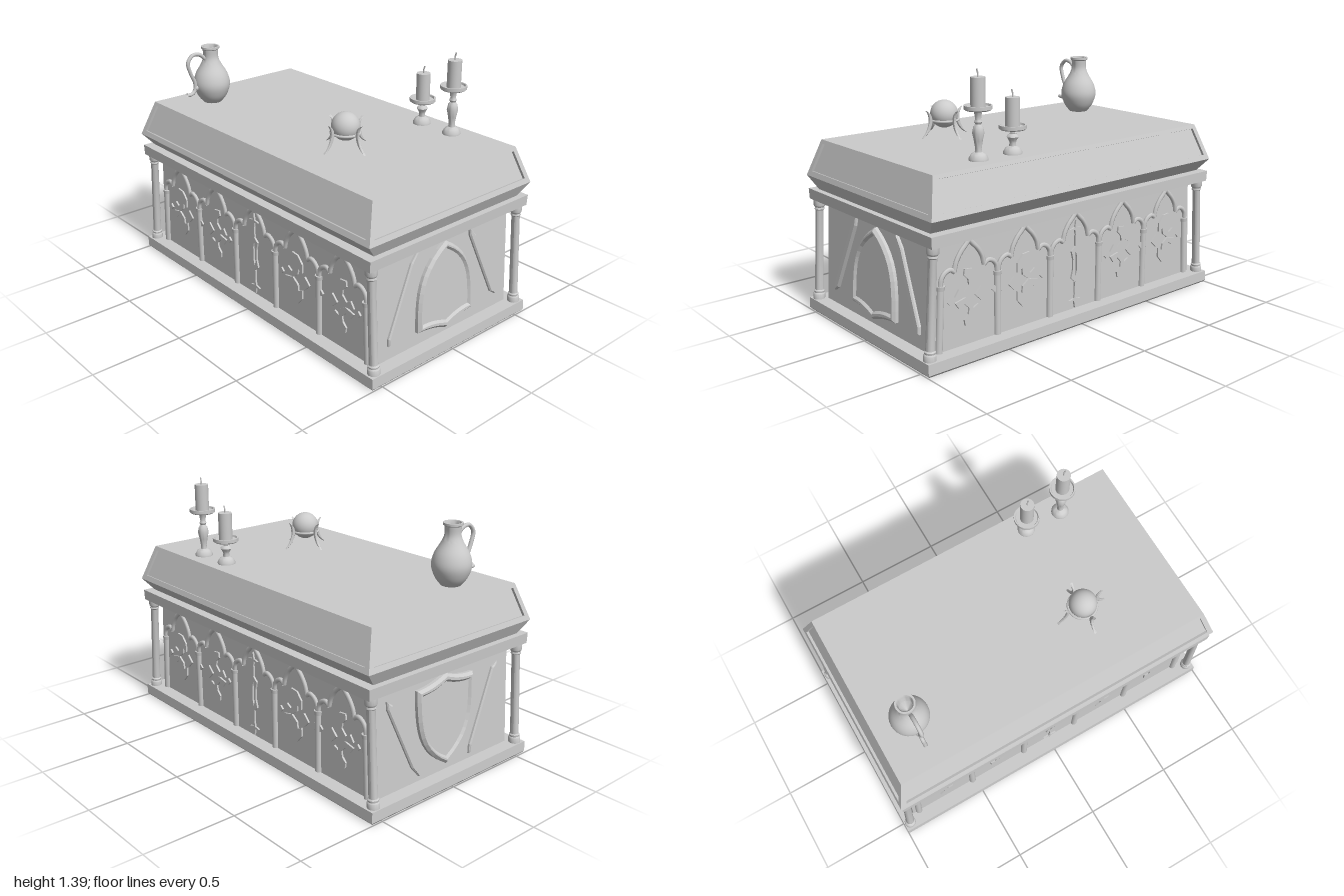
import * as THREE from 'three';
import { toCreasedNormals } from 'three/addons/utils/BufferGeometryUtils.js';

const grey = new THREE.MeshStandardMaterial({ color: 0xcccccc, side: THREE.DoubleSide });
const V3 = (x, y, z) => new THREE.Vector3(x, y, z);

function add(parent, name, geometry, x = 0, y = 0, z = 0) {
  const mesh = new THREE.Mesh(geometry, grey);
  mesh.name = name;
  mesh.position.set(x, y, z);
  parent.add(mesh);
  return mesh;
}

function group(parent, name, x = 0, y = 0, z = 0) {
  const g = new THREE.Group();
  g.name = name;
  g.position.set(x, y, z);
  parent.add(g);
  return g;
}

// Box whose bottom and top have different half sizes
function frustum(y0, x0, z0, y1, x1, z1) {
  const g = new THREE.BoxGeometry(2, 1, 2);
  const p = g.attributes.position;
  for (let i = 0; i < p.count; i++) {
    const top = p.getY(i) > 0;
    p.setXYZ(i, p.getX(i) * (top ? x1 : x0), top ? y1 : y0, p.getZ(i) * (top ? z1 : z0));
  }
  g.computeVertexNormals();
  return g;
}

const lathe = (pts, seg = 24) => toCreasedNormals(
  new THREE.LatheGeometry(pts.map(([r, y]) => new THREE.Vector2(r, y)), seg), 0.7);

const polygon = (pts) => new THREE.Shape(pts.map(([x, y]) => new THREE.Vector2(x, y)));

const extrude = (shape, depth, bevel = 0) => new THREE.ExtrudeGeometry(shape, {
  depth, bevelEnabled: bevel > 0, bevelSize: bevel, bevelThickness: bevel,
  bevelOffset: -bevel, bevelSegments: 1, curveSegments: 10,
});

const diamond = (w, h = w) => polygon([[-w, 0], [0, -h], [w, 0], [0, h]]);

// Sloping lid with a sunken panel in each of its four sides
function lidGeometry(y0, x0, z0, y1, x1, z1) {
  const pos = [];
  const quad = (a, b, c, d) => [a, b, c, a, c, d].forEach((v) => pos.push(v.x, v.y, v.z));
  const ring = (x, y, z) => [V3(-x, y, z), V3(x, y, z), V3(x, y, -z), V3(-x, y, -z)];
  const low = ring(x0, y0, z0), high = ring(x1, y1, z1);
  quad(...high);
  for (let i = 0; i < 4; i++) {
    const j = (i + 1) % 4;
    const outer = [low[i], low[j], high[j], high[i]];
    const across = low[j].clone().sub(low[i]);
    const n = across.clone().cross(high[i].clone().sub(low[i])).normalize();
    const m = 0.03 / across.length();
    const at = (u, v) => low[i].clone().lerp(low[j], u).lerp(high[i].clone().lerp(high[j], u), v);
    const inner = [at(m, 0.14), at(1 - m, 0.14), at(1 - m, 0.9), at(m, 0.9)];
    const sunk = inner.map((v) => v.clone().addScaledVector(n, -0.014));
    for (let k = 0; k < 4; k++) {
      const l = (k + 1) % 4;
      quad(outer[k], outer[l], inner[l], inner[k]);
      quad(inner[k], inner[l], sunk[l], sunk[k]);
    }
    quad(...sunk);
  }
  const g = new THREE.BufferGeometry();
  g.setAttribute('position', new THREE.Float32BufferAttribute(pos, 3));
  g.computeVertexNormals();
  return g;
}

// Long side: trefoil arcade, pilasters and carved ornaments, facing +z
function arcade(parent, name) {
  const side = group(parent, name, 0, 0, 0.488);
  const half = [[-0.172, 0.4], [-0.165, 0.44], [-0.145, 0.465], [-0.115, 0.475], [-0.09, 0.46]];
  const point = [[-0.09, 0.46], [-0.078, 0.505], [-0.05, 0.55], [-0.02, 0.58], [0, 0.602]];
  const fleur = [[-0.09, 0.015], [-0.065, 0.05], [-0.035, 0.03], [-0.005, 0.06], [-0.01, 0.09],
    [-0.035, 0.115], [-0.03, 0.145], [0.015, 0.14], [0.05, 0.1], [0.05, 0.05], [0.02, 0.065],
    [0.015, 0.03], [-0.025, 0]];
  for (let i = -2; i <= 2; i++) {
    const cx = i * 0.35;
    for (const s of [-1, 1]) for (const line of [half, point]) {
      const path = new THREE.CatmullRomCurve3(line.map(([x, y]) => V3(cx + s * x, y, 0.004)));
      add(side, 'archMoulding', new THREE.TubeGeometry(path, 14, 0.013, 6));
    }
    if (i === 0) continue;
    // Leaf scrolls and diamonds, mirrored about the centre panel
    const flip = Math.abs(i) === 2 ? Math.sign(i) : -Math.sign(i);
    const motif = group(side, 'carvedOrnament', cx, 0.315, -0.002);
    for (const s of [-1, 1]) {
      add(motif, 'leafScroll', extrude(polygon(fleur.map(([x, y]) => [-flip * x, s * y])), 0.012));
    }
    for (const [x, r] of [[-0.118, 0.018], [0.07, 0.038], [0.155, 0.018]]) {
      add(motif, 'diamond', extrude(diamond(r), 0.012), -flip * x);
    }
  }
  // Centre panel ornament
  const centre = group(side, 'centreOrnament', 0, 0, -0.002);
  for (const y of [0.515, 0.12]) {
    add(centre, 'crossUpright', extrude(diamond(0.009, 0.045), 0.012), 0, y);
    add(centre, 'crossArm', extrude(diamond(0.04, 0.009), 0.012), 0, y);
  }
  const link = polygon([[0, -0.1], [0.03, -0.075], [0.018, -0.03], [0.018, 0.03], [0.03, 0.075],
    [0, 0.1], [-0.03, 0.075], [-0.018, 0.03], [-0.018, -0.03], [-0.03, -0.075]]);
  link.holes.push(polygon([[0, -0.07], [0.009, -0.04], [0.009, 0.04], [0, 0.07], [-0.009, 0.04], [-0.009, -0.04]]));
  add(centre, 'link', extrude(link, 0.012), 0, 0.32);
  add(centre, 'upperStem', new THREE.BoxGeometry(0.008, 0.06, 0.012), 0, 0.45, 0.006);
  add(centre, 'lowerStem', new THREE.BoxGeometry(0.008, 0.06, 0.012), 0, 0.19, 0.006);
  // Pilasters
  for (const x of [-0.885, -0.525, -0.175, 0.175, 0.525, 0.885]) {
    const pilaster = group(side, 'pilaster', x, 0.07);
    pilaster.rotation.z = Math.abs(x) > 0.8 ? Math.sign(x) * 0.05 : 0;
    add(pilaster, 'pilasterShaft', new THREE.CylinderGeometry(0.019, 0.019, 0.32, 12), 0, 0.16);
    add(pilaster, 'pilasterCapital', new THREE.CylinderGeometry(0.024, 0.021, 0.022, 12), 0, 0.325);
  }
  return side;
}

// Short end: shield between two blades, facing +z before it is turned
function endDecoration(parent, s) {
  const end = group(parent, s > 0 ? 'leftEnd' : 'rightEnd', s * 0.908, 0.3475, 0);
  end.rotation.order = 'YXZ';
  end.rotation.set(-0.054, s * Math.PI / 2, s > 0 ? 0 : Math.PI);
  const outline = (k) => {
    const sh = new THREE.Shape();
    sh.moveTo(0, -0.247 * k);
    sh.quadraticCurveTo(0.1 * k, -0.205 * k, 0.2 * k, -0.205 * k);
    sh.bezierCurveTo(0.2 * k, 0, 0.19 * k, 0.13 * k, 0, 0.238 * k);
    sh.bezierCurveTo(-0.19 * k, 0.13 * k, -0.2 * k, 0, -0.2 * k, -0.205 * k);
    sh.quadraticCurveTo(-0.1 * k, -0.205 * k, 0, -0.247 * k);
    return sh;
  };
  const frame = outline(1);
  frame.holes.push(outline(0.82));
  add(end, 'shieldRim', extrude(frame, 0.02, 0.014));
  add(end, 'shieldFace', extrude(outline(0.84), 0.022));
  for (const m of [-1, 1]) {
    const blade = [[0.185, 0.25], [0.235, 0.19], [0.395, -0.165], [0.395, -0.205], [0.375, -0.19], [0.36, -0.18], [0.19, 0.2]];
    add(end, 'blade', extrude(polygon(blade.map(([x, y]) => [m * x, y])), 0.012, 0.007));
  }
}

function candle(parent, name, x, plateY, topY) {
  const c = group(parent, name, x, 0.95, -0.4);
  const k = plateY - 0.95;
  const stem = [[0, 0], [0.048, 0], [0.048, 0.012], [0.036, 0.032], [0.018, 0.042], [0.016, 0.06]];
  const rest = [[0.2, 0.022], [0.4, 0.03], [0.55, 0.024], [0.62, 0.014], [0.68, 0.02], [0.74, 0.014], [0.94, 0.02], [1, 0.03]];
  const upper = rest.map(([t, r]) => [r, 0.06 + t * (k - 0.06)]);
  add(c, 'candlestick', lathe([...stem, ...upper]));
  add(c, 'dripPlate', lathe([[0, k - 0.004], [0.062, k - 0.004], [0.07, k + 0.002], [0.07, k + 0.02], [0.062, k + 0.02], [0.058, k + 0.01], [0, k + 0.01]]));
  const h = topY - plateY;
  add(c, 'wax', new THREE.CylinderGeometry(0.037, 0.037, h, 24), 0, k + h / 2);
  const wick = new THREE.CatmullRomCurve3([V3(0, 0, 0), V3(0, 0.018, 0), V3(0.006, 0.038, 0)]);
  add(c, 'wick', new THREE.TubeGeometry(wick, 5, 0.004, 6), 0, topY - 0.95);
}

export function createModel() {
  const model = new THREE.Group();
  model.name = 'altarTomb';

  // Plinth, body and cornice
  add(model, 'plinthFoot', frustum(0, 0.99, 0.557, 0.012, 1, 0.567));
  add(model, 'plinth', frustum(0.012, 1, 0.567, 0.068, 0.998, 0.565));
  add(model, 'body', frustum(0.06, 0.925, 0.488, 0.63, 0.895, 0.488));
  add(model, 'cornice', frustum(0.625, 0.965, 0.565, 0.683, 0.968, 0.566));

  // Lid
  add(model, 'lidFlare', frustum(0.682, 0.935, 0.512, 0.755, 0.97, 0.575));
  add(model, 'lid', lidGeometry(0.755, 0.97, 0.575, 0.952, 0.91, 0.505));

  arcade(model, 'frontArcade');
  arcade(group(model, 'backSide'), 'backArcade').parent.rotation.y = Math.PI;
  for (const s of [-1, 1]) endDecoration(model, s);

  // Leaning corner columns
  const profile = [[0, 0], [0.032, 0], [0.032, 0.03], [0.027, 0.036], [0.029, 0.046], [0.023, 0.052],
    [0.022, 0.5], [0.027, 0.506], [0.024, 0.516], [0.031, 0.526], [0.031, 0.562], [0, 0.562]];
  for (const sx of [-1, 1]) for (const sz of [-1, 1]) {
    add(model, 'cornerColumn', lathe(profile, 16), sx * 0.962, 0.066, sz * 0.523).rotation.z = sx * 0.058;
  }

  // Jug with a curled handle
  const jug = group(model, 'jug', -0.71, 0.95, 0.24);
  const body = new THREE.SplineCurve([[0.055, 0.005], [0.085, 0.045], [0.104, 0.105], [0.092, 0.165], [0.058, 0.225],
    [0.043, 0.265], [0.044, 0.31]].map(([x, y]) => new THREE.Vector2(x, y))).getPoints(24).map((p) => [p.x, p.y]);
  add(jug, 'jugBody', lathe([[0, 0], [0.05, 0], ...body, [0.052, 0.316], [0.052, 0.328], [0.042, 0.328], [0.036, 0.31], [0.036, 0.25], [0, 0.2]], 32));
  const handle = new THREE.CatmullRomCurve3([V3(0, 0.26, 0.04), V3(0, 0.29, 0.075), V3(0, 0.295, 0.12),
    V3(0, 0.255, 0.155), V3(0, 0.19, 0.14), V3(0, 0.13, 0.115), V3(0, 0.085, 0.12), V3(0, 0.068, 0.145), V3(0, 0.07, 0.17)]);
  add(jug, 'jugHandle', new THREE.TubeGeometry(handle, 40, 0.011, 8));
  add(jug, 'handleJoint', new THREE.SphereGeometry(0.016, 10, 8), 0, 0.1, 0.107);

  // Orb held by four crescent claws
  const orb = group(model, 'orbStand', 0.355, 0.95, 0.165);
  add(orb, 'orb', new THREE.SphereGeometry(0.075, 32, 20), 0, 0.122);
  const ring = add(orb, 'orbRing', new THREE.TorusGeometry(0.076, 0.007, 8, 32), 0, 0.09);
  ring.rotation.x = Math.PI / 2;
  const crescent = new THREE.Shape();
  crescent.moveTo(0.145, 0.003);
  crescent.bezierCurveTo(0.08, 0.03, 0.05, 0.12, 0.118, 0.15);
  crescent.bezierCurveTo(0.085, 0.115, 0.095, 0.05, 0.145, 0.003);
  for (let i = 0; i < 4; i++) {
    const claw = group(orb, 'claw');
    claw.rotation.y = i * Math.PI / 2;
    add(claw, 'clawCrescent', extrude(crescent, 0.008, 0.003), 0, 0, -0.004);
  }

  candle(model, 'tallCandle', 0.565, 1.2, 1.355);
  candle(model, 'shortCandle', 0.35, 1.078, 1.235);
  return model;
}
